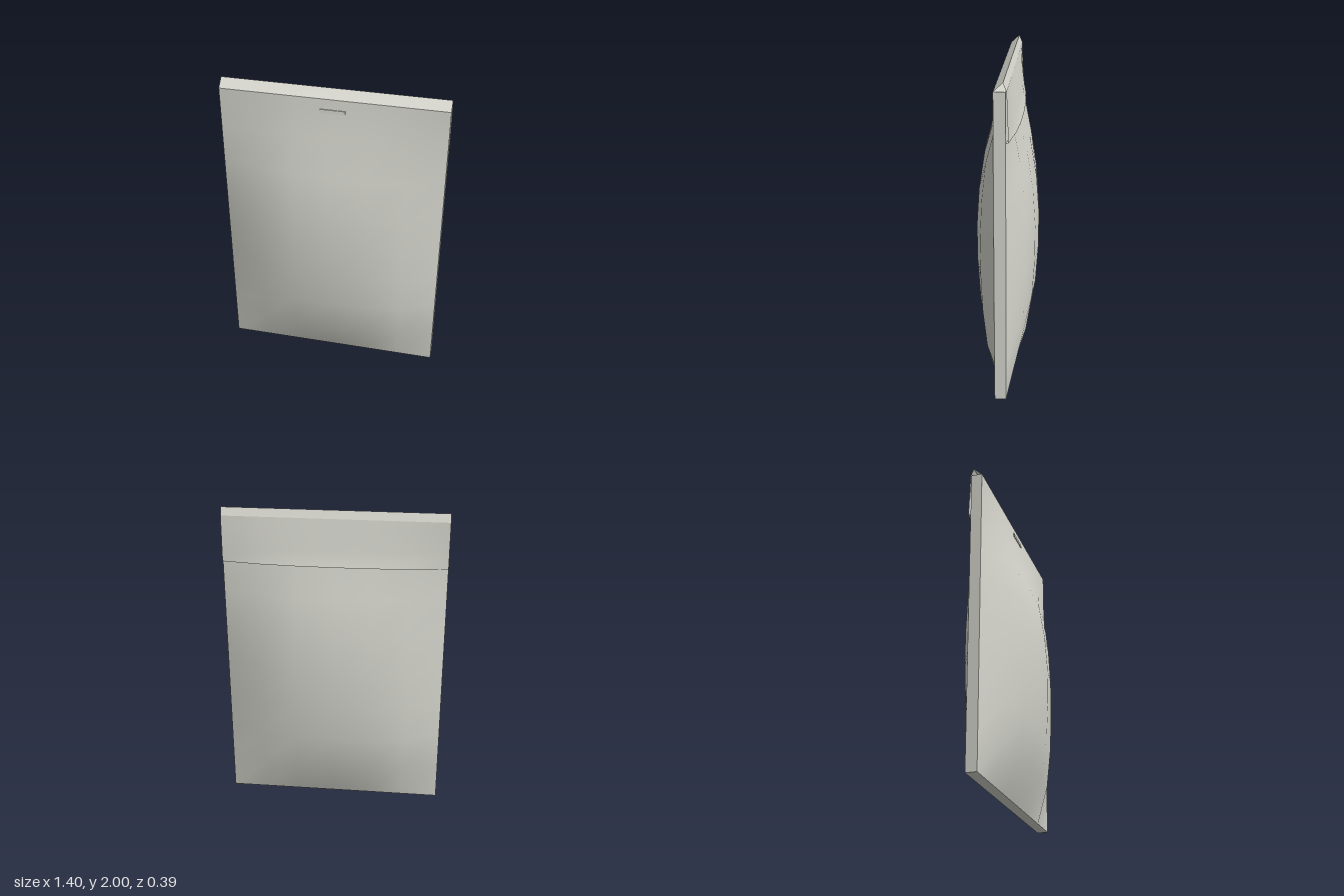
import * as THREE from 'three';

const W = 0.7, H = 1.95, EDGE = 0.035, PUFF = 0.162;
const ACROSS = [0, 0.65, 0.92, 1, 0.92, 0.65, 0];
const UP = [0, 0.64, 0.89, 0.99, 1, 0.89, 0.64, 0.22, 0];

// piecewise-linear lookup in a list, t from 0 to 1
function sample(list, t) {
  const f = Math.min(Math.max(t, 0), 1) * (list.length - 1);
  const i = Math.min(Math.floor(f), list.length - 2);
  return THREE.MathUtils.lerp(list[i], list[i + 1], f - i);
}

// half thickness of the padded pouch at a point
const thickness = (x, y) => EDGE + PUFF * sample(ACROSS, (x + W) / (2 * W)) * sample(UP, y / H);

// surface from a grid of points; u runs right and v up when seen from its front
function sheet(nu, nv, point) {
  const pos = [], idx = [];
  for (let j = 0; j <= nv; j++)
    for (let i = 0; i <= nu; i++) pos.push(...point(i / nu, j / nv));
  for (let j = 0; j < nv; j++)
    for (let i = 0; i < nu; i++) {
      const a = j * (nu + 1) + i, b = a + 1, c = a + nu + 1, d = c + 1;
      idx.push(a, b, d, a, d, c);
    }
  const g = new THREE.BufferGeometry();
  g.setAttribute('position', new THREE.Float32BufferAttribute(pos, 3));
  g.setIndex(idx);
  g.computeVertexNormals();
  return g;
}

export function createModel() {
  const model = new THREE.Group();
  model.name = 'paddedEnvelope';
  const paper = new THREE.MeshStandardMaterial({ color: 0xd8d8d0, side: THREE.DoubleSide });
  paper.name = 'pale grey paper';
  const add = (name, geometry) => {
    const mesh = new THREE.Mesh(geometry, paper);
    mesh.name = name;
    model.add(mesh);
    return mesh;
  };

  // bulging front and back panels, with the straight border strip between them
  for (const s of [1, -1]) {
    add(s > 0 ? 'frontPanel' : 'backPanel', sheet(6, 8, (u, v) => {
      const x = s * (2 * u - 1) * W, y = v * H;
      return [x, y, s * thickness(x, y)];
    }));
    add(s > 0 ? 'leftEdge' : 'rightEdge', sheet(1, 1, (u, v) =>
      [s * W, v * H, s * EDGE * (1 - 2 * u)]));
  }
  add('bottomEdge', sheet(1, 1, (u, v) => [(2 * u - 1) * W, 0, EDGE * (2 * v - 1)]));
  add('topEdge', sheet(1, 1, (u, v) => [(2 * u - 1) * W, H, EDGE * (1 - 2 * v)]));

  // folded ridge above the opening
  const RIDGE = [2.0, -0.02];
  add('ridgeFront', sheet(1, 1, (u, v) =>
    [(2 * u - 1) * W, v ? RIDGE[0] : H, v ? RIDGE[1] : EDGE]));
  add('ridgeBack', sheet(1, 1, (u, v) =>
    [(1 - 2 * u) * W, v ? RIDGE[0] : H, v ? RIDGE[1] : -EDGE - 0.005]));

  // closing flap lying over the back panel, and its lower lip
  const FLAP = 1.66;
  const flapZ = (x, y) => -thickness(x, y) - 0.005 - 0.01 * (H - y) / (H - FLAP);
  add('flap', sheet(12, 6, (u, v) => {
    const x = (1 - 2 * u) * W, y = FLAP + v * (H - FLAP);
    return [x, y, flapZ(x, y)];
  }));
  add('flapLip', sheet(12, 1, (u, v) => {
    const x = (1 - 2 * u) * W;
    return [x, FLAP, v ? flapZ(x, FLAP) : -thickness(x, FLAP)];
  }));

  // small tab near the top of the front
  const tab = add('frontTab', new THREE.BoxGeometry(0.16, 0.025, 0.009));
  tab.position.set(0, 1.875, 0.047);
  tab.rotation.x = -0.1;

  return model;
}
